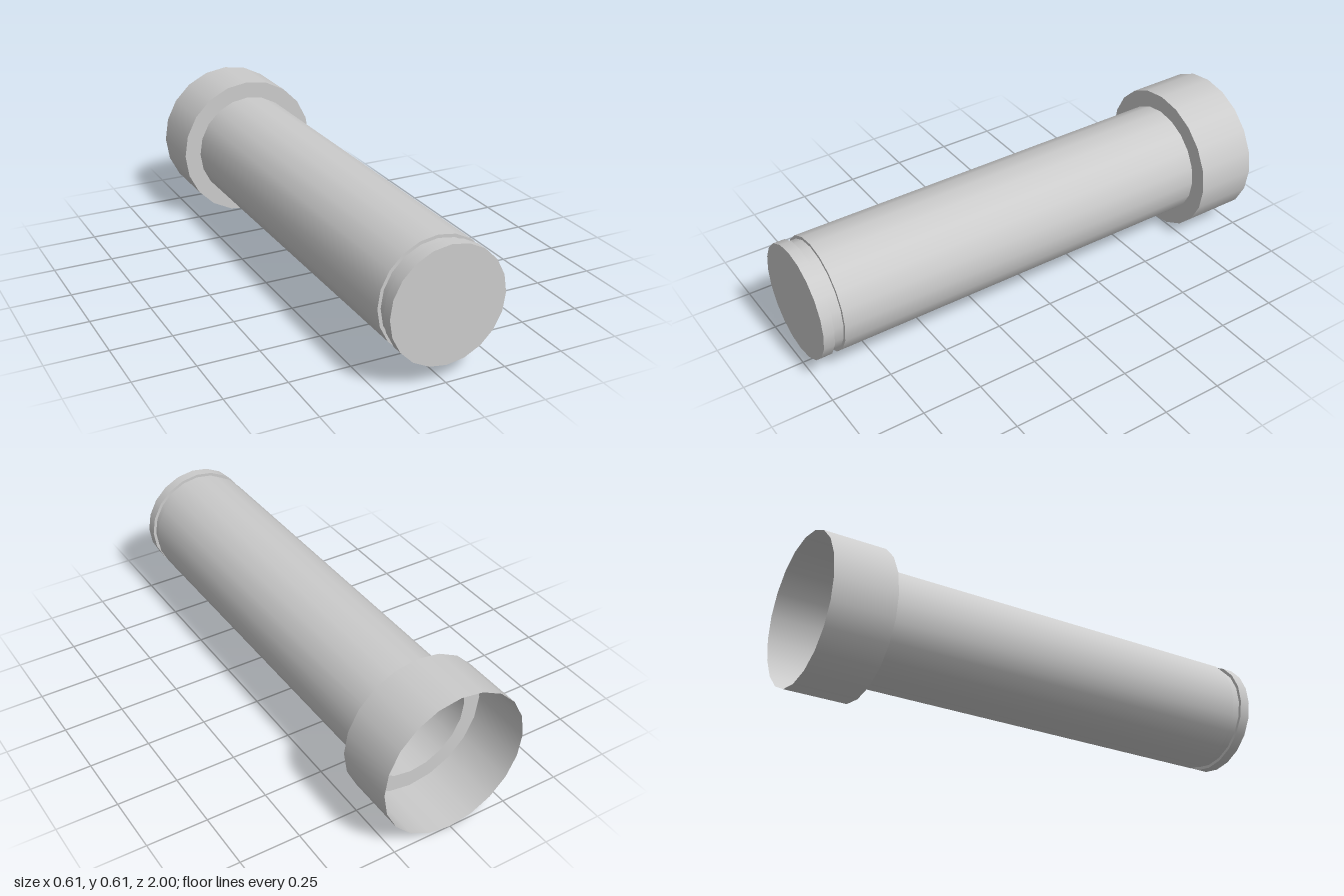
import * as THREE from 'three';

const SIDES = 20;
const HEAD_R = 0.307, SHAFT_R = 0.235, GROOVE_R = 0.222;

export function createModel() {
  const model = new THREE.Group();
  model.name = 'flangedSleeve';
  const material = new THREE.MeshStandardMaterial({ color: 0xcccccc, side: THREE.DoubleSide });

  // One band of the thin shell, swept round z: smooth around, sharp where bands meet.
  const band = (name, r0, z0, r1, z1) => {
    const profile = [new THREE.Vector2(r0, z0), new THREE.Vector2(r1, z1)];
    const geometry = new THREE.LatheGeometry(profile, SIDES).rotateX(Math.PI / 2);
    const mesh = new THREE.Mesh(geometry, material);
    mesh.name = name;
    mesh.position.y = HEAD_R;
    model.add(mesh);
  };

  // Wide head, open at the back
  band('headWall', HEAD_R, -1, HEAD_R, -0.743);
  band('headShoulder', HEAD_R, -0.743, SHAFT_R, -0.743);

  // Long hollow shaft
  band('shaft', SHAFT_R, -0.743, SHAFT_R, 0.912);

  // Shallow groove near the tip
  band('grooveBackStep', SHAFT_R, 0.912, GROOVE_R, 0.912);
  band('grooveFloor', GROOVE_R, 0.912, GROOVE_R, 0.955);
  band('grooveFrontStep', GROOVE_R, 0.955, SHAFT_R, 0.955);

  // Closed tip
  band('tipRim', SHAFT_R, 0.955, SHAFT_R, 1);
  band('tipCap', SHAFT_R, 1, 0, 1);

  return model;
}
